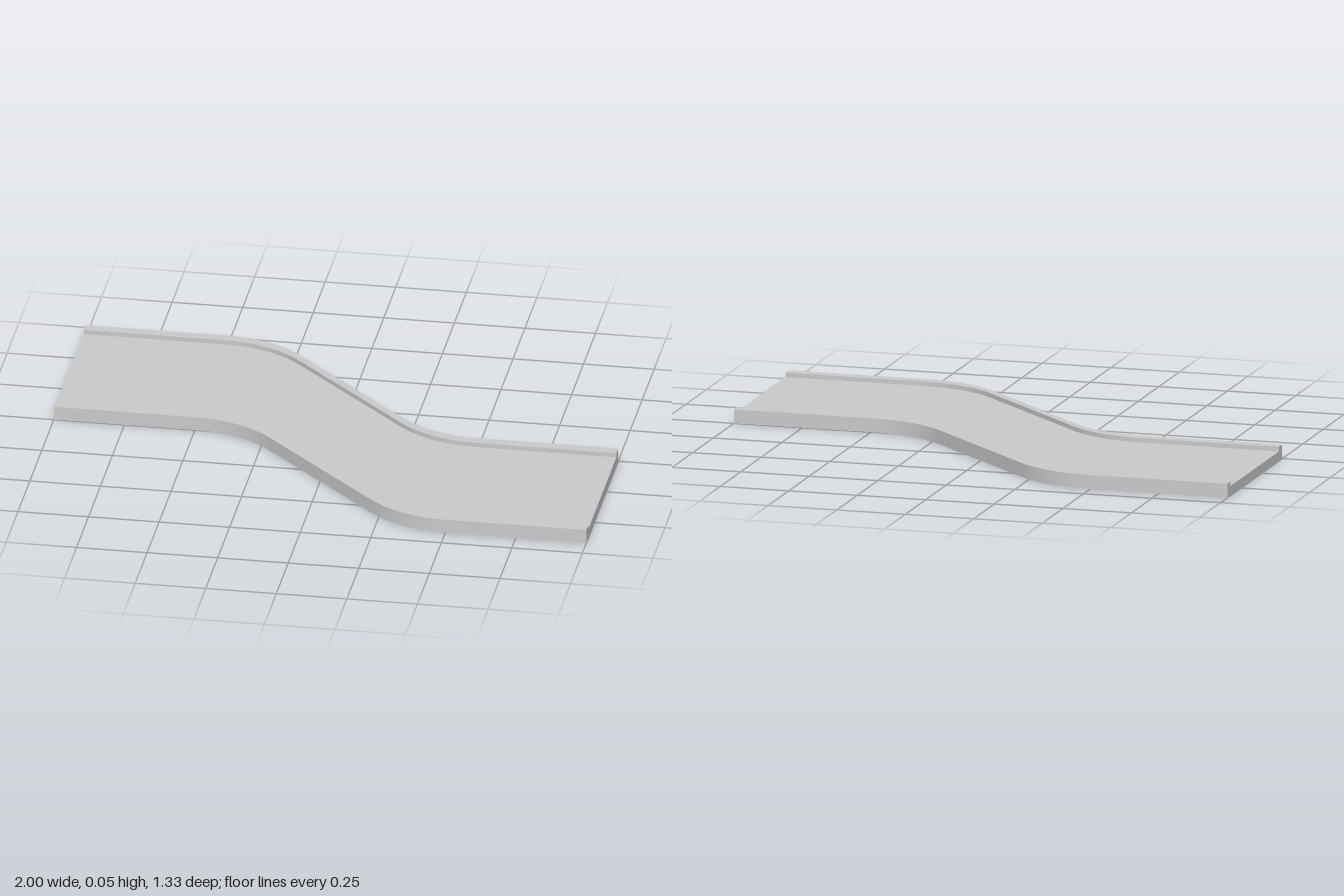
import * as THREE from 'three';
import { toCreasedNormals } from 'three/addons/utils/BufferGeometryUtils.js';

const WIDTH = 0.667, HEIGHT = 0.05, FLOOR = 0.034, RAIL = 0.04;
const ARC_STEPS = 10;

// S-shaped centre line (x, z): straight, 45 degree bend, diagonal, bend back, straight
function centreLine() {
  const half = WIDTH / 2, corner = half, tangent = 0.167;
  const radius = tangent / Math.tan(Math.PI / 8);
  const start = [new THREE.Vector2(-1, -half)];
  for (let i = 0; i <= ARC_STEPS; i++) {
    const a = (i / ARC_STEPS) * Math.PI / 4;
    start.push(new THREE.Vector2(
      -corner - tangent + radius * Math.sin(a),
      -half + radius * (1 - Math.cos(a))));
  }
  // second half is the first turned by 180 degrees
  const end = start.map(p => new THREE.Vector2(-p.x, -p.y)).reverse();
  return [...start, ...end];
}

// Channel section: flat floor with a low rail on each side
function channelSection() {
  const w = WIDTH / 2, i = w - RAIL;
  return new THREE.Shape([
    [-w, 0], [w, 0], [w, HEIGHT], [i, HEIGHT],
    [i, FLOOR], [-i, FLOOR], [-i, HEIGHT], [-w, HEIGHT],
  ].map(([x, y]) => new THREE.Vector2(x, y)));
}

export function createModel() {
  const group = new THREE.Group();
  group.name = 'trackSection';

  // Extrude one step per path point, then shift every step onto the path
  const path = centreLine();
  const steps = path.length - 1;
  const geometry = new THREE.ExtrudeGeometry(channelSection(), {
    depth: steps, steps, bevelEnabled: false,
  });
  const pos = geometry.attributes.position;
  for (let i = 0; i < pos.count; i++) {
    const p = path[Math.round(pos.getZ(i))];
    pos.setXYZ(i, p.x, pos.getY(i), p.y - pos.getX(i));
  }

  const track = new THREE.Mesh(
    toCreasedNormals(geometry, 0.5),
    new THREE.MeshStandardMaterial({ color: 0xcccccc }));
  track.name = 'railedTrack';
  group.add(track);
  return group;
}
